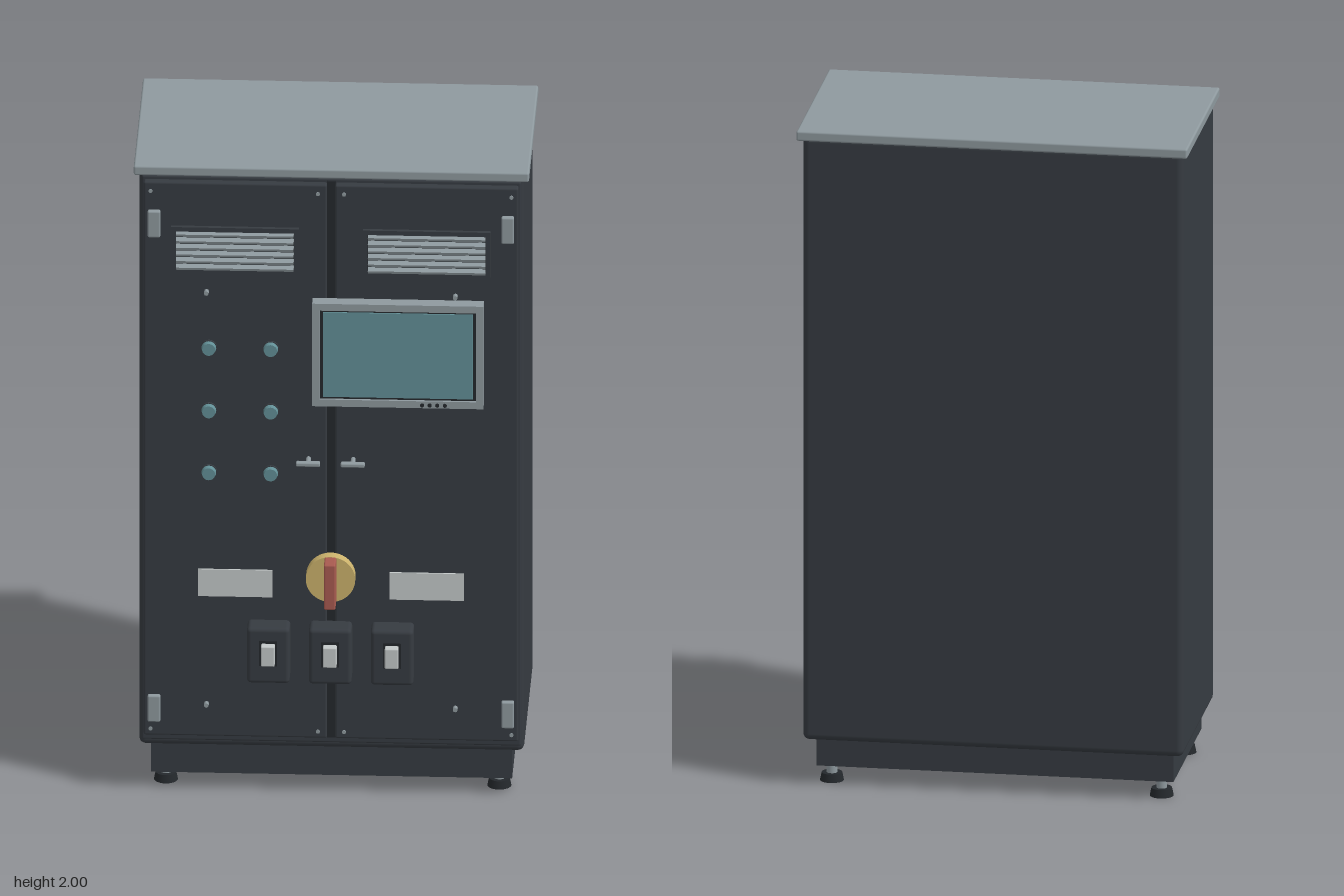
import * as THREE from 'three';
import { RoundedBoxGeometry } from 'three/addons/geometries/RoundedBoxGeometry.js';

const mat = (name, color, extra = {}) => new THREE.MeshStandardMaterial({ name, color, ...extra });

export function createModel() {
  const root = new THREE.Group();
  root.name = 'controlCabinet';
  const dark = mat('charcoal steel', 0x363b41);
  const black = mat('black trim', 0x24282c);
  const grey = mat('grey metal', 0x8e999e);
  const teal = mat('teal glass', 0x628f96);
  const pale = mat('pale plate', 0xc3c8c8);
  const yellow = mat('yellow', 0xcbb26c);
  const red = mat('red', 0xa85a50);

  const add = (name, geometry, material, x, y, z, parent = root) => {
    const m = new THREE.Mesh(geometry, material);
    m.name = name;
    m.position.set(x, y, z);
    parent.add(m);
    return m;
  };
  // Box given by its limits; r rounds the edges
  const box = (name, material, x0, x1, y0, y1, z0, z1, r = 0) => {
    const w = x1 - x0, h = y1 - y0, d = z1 - z0;
    const g = r ? new RoundedBoxGeometry(w, h, d, 3, r) : new THREE.BoxGeometry(w, h, d);
    return add(name, g, material, (x0 + x1) / 2, (y0 + y1) / 2, (z0 + z1) / 2);
  };
  // Round part whose axis points forward, starting at z0
  const disc = (name, material, x, y, z0, z1, r, sides = 24, rFront = r) => {
    const g = new THREE.CylinderGeometry(rFront, r, z1 - z0, sides).rotateX(Math.PI / 2);
    return add(name, g, material, x, y, (z0 + z1) / 2);
  };
  // Frame plate with a rectangular opening
  const frame = (name, material, x, y, w, h, border, z0, z1) => {
    const rect = (s, a, b) => s.moveTo(-a, -b).lineTo(a, -b).lineTo(a, b).lineTo(-a, b).closePath();
    const s = rect(new THREE.Shape(), w / 2, h / 2);
    s.holes.push(rect(new THREE.Path(), w / 2 - border, h / 2 - border));
    return add(name, new THREE.ExtrudeGeometry(s, { depth: z1 - z0, bevelEnabled: false }), material, x, y, z0);
  };

  // Cabinet shell
  box('body', dark, -0.56, 0.56, 0.14, 1.98, -0.344, 0.236, 0.02);
  box('roof', grey, -0.575, 0.575, 1.97, 2, -0.363, 0.252, 0.006);
  box('plinth', dark, -0.525, 0.525, 0.052, 0.15, -0.3, 0.227);
  box('doorSurround', dark, -0.552, 0.552, 0.165, 1.97, 0.23, 0.249, 0.006);
  box('doorGap', black, -0.013, 0.013, 0.185, 1.965, 0.249, 0.256);

  // Levelling feet
  for (const x of [-0.485, 0.485]) for (const z of [0.16, -0.265]) {
    add('footPad', new THREE.CylinderGeometry(0.03, 0.035, 0.024, 24), black, x, 0.012, z);
    add('footStem', new THREE.CylinderGeometry(0.016, 0.016, 0.036, 16), grey, x, 0.038, z);
  }

  const face = 0.273;
  for (const s of [-1, 1]) {
    const span = (a, b) => (s > 0 ? [a, b] : [-b, -a]);

    // Door with hinges
    box('door', dark, ...span(0.012, 0.545), 0.19, 1.96, 0.247, face, 0.006);
    for (const y of [0.28, 1.83]) {
      box('hinge', grey, ...span(0.496, 0.533), y - 0.042, y + 0.042, face - 0.005, 0.288, 0.005);
    }

    // Louvred vent
    frame('ventFrame', dark, s * 0.279, 1.75, 0.372, 0.145, 0.014, face - 0.003, 0.285);
    box('ventBack', black, ...span(0.1, 0.458), 1.685, 1.815, face, face + 0.003);
    for (let i = 0; i < 6; i++) {
      const slat = add('ventSlat', new THREE.BoxGeometry(0.342, 0.008, 0.018), grey,
        s * 0.279, 1.697 + i * 0.0212, 0.287);
      slat.rotation.x = 0.3;
    }

    // Corner screws and panel screws
    for (const x of [0.038, 0.525]) for (const y of [0.212, 1.932]) {
      disc('cornerScrew', grey, s * x, y, face, 0.277, 0.006, 8);
    }
    for (const y of [0.296, 1.614]) disc('panelScrew', grey, s * 0.362, y, face, 0.291, 0.007, 8);

    // Door handle
    disc('handlePost', grey, s * 0.065, 1.085, face, 0.31, 0.007, 12);
    box('handleBar', grey, ...span(0.03, 0.1), 1.079, 1.092, 0.303, 0.322, 0.004);

    // Label plate
    box('labelPlate', pale, ...span(0.17, 0.387), 0.64, 0.726, face, face + 0.005);
  }

  // Operator screen
  frame('screenFrame', grey, 0.196, 1.435, 0.498, 0.328, 0.022, face, 0.314);
  box('screenBezel', black, -0.032, 0.424, 1.291, 1.579, face, 0.306);
  box('screenGlass', teal, -0.022, 0.414, 1.3, 1.57, 0.306, 0.31);
  for (let i = 0; i < 4; i++) disc('screenButton', black, 0.267 + i * 0.022, 1.281, 0.312, 0.318, 0.006, 10);

  // Indicator lamps
  for (const x of [-0.355, -0.175]) for (const y of [1.037, 1.235, 1.435]) {
    disc('lampBezel', dark, x, y, face, 0.279, 0.024, 20);
    disc('lamp', teal, x, y, 0.277, 0.293, 0.022, 20, 0.019);
  }

  // Main rotary switch
  disc('switchDisc', yellow, 0, 0.713, face, 0.305, 0.072, 40);
  box('switchHandle', red, -0.017, 0.017, 0.641, 0.785, 0.303, 0.363, 0.005);

  // Breakers with toggles
  for (const x of [-0.18, 0, 0.18]) {
    box('breakerBody', dark, x - 0.062, x + 0.062, 0.39, 0.566, 0.262, 0.337, 0.012);
    box('breakerSlot', black, x - 0.026, x + 0.026, 0.448, 0.528, 0.335, 0.34);
    box('breakerToggle', pale, x - 0.02, x + 0.02, 0.456, 0.52, 0.33, 0.363, 0.004);
  }
  return root;
}
